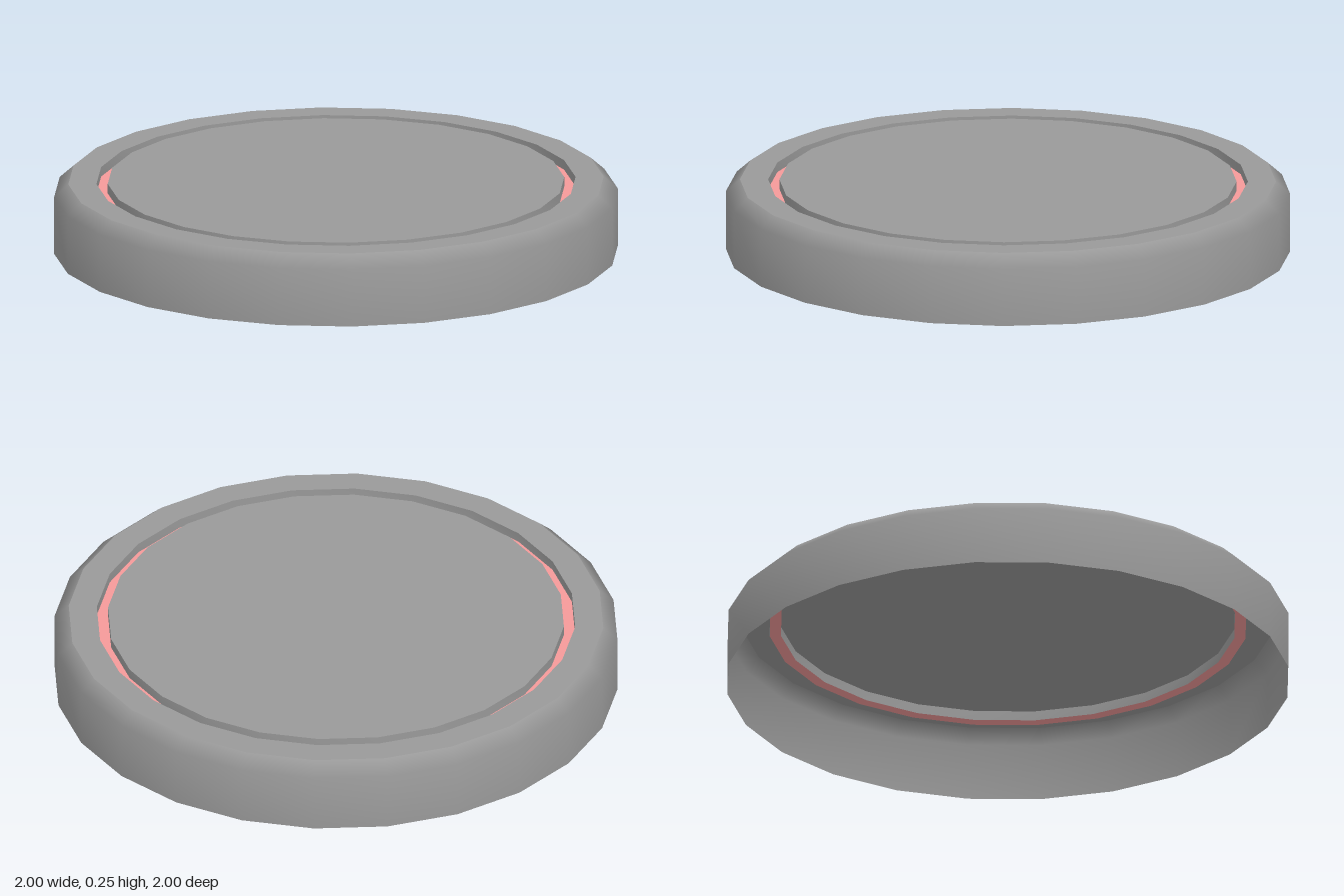
import * as THREE from 'three';
import { mergeVertices } from 'three/addons/utils/BufferGeometryUtils.js';

const SIDES = 24;
const TOP = 0.255;      // height of the flat face
const FLOOR = 0.22;     // bottom of the groove
const GROOVE_OUT = 0.85;
const GROOVE_IN = 0.81;

export function createModel() {
  const group = new THREE.Group();
  group.name = 'lid';
  const grey = new THREE.MeshStandardMaterial({ color: 0x999999, side: THREE.DoubleSide });
  const pink = new THREE.MeshStandardMaterial({ color: 0xf49999, side: THREE.DoubleSide });

  const add = (name, geometry, material) => {
    const mesh = new THREE.Mesh(geometry, material);
    mesh.name = name;
    group.add(mesh);
    return mesh;
  };

  // Each part is its own band so that the edges between bands stay sharp;
  // within a band the normals are weighted by face area
  const band = (name, points, material = grey) => {
    const lathe = new THREE.LatheGeometry(points.map(([r, y]) => new THREE.Vector2(r, y)), SIDES);
    lathe.deleteAttribute('normal');
    lathe.deleteAttribute('uv');
    const geometry = mergeVertices(lathe);
    geometry.computeVertexNormals();
    add(name, geometry, material);
  };

  // Open-bottomed outer shell: wall blending softly into the bevel
  band('outerWall', [[1, 0], [1, 0.21], [0.95, TOP]]);
  band('topRim', [[0.95, TOP], [GROOVE_OUT, TOP]]);

  // Narrow groove with a coloured floor
  band('grooveOuterWall', [[GROOVE_OUT, TOP], [GROOVE_OUT, FLOOR]]);
  band('grooveFloor', [[GROOVE_OUT, FLOOR], [GROOVE_IN, FLOOR]], pink);
  band('grooveInnerWall', [[GROOVE_IN, FLOOR], [GROOVE_IN, TOP]]);

  // Flat centre
  const disc = add('centreDisc', new THREE.CircleGeometry(GROOVE_IN, SIDES), grey);
  disc.rotation.x = -Math.PI / 2;
  disc.position.y = TOP;

  return group;
}
